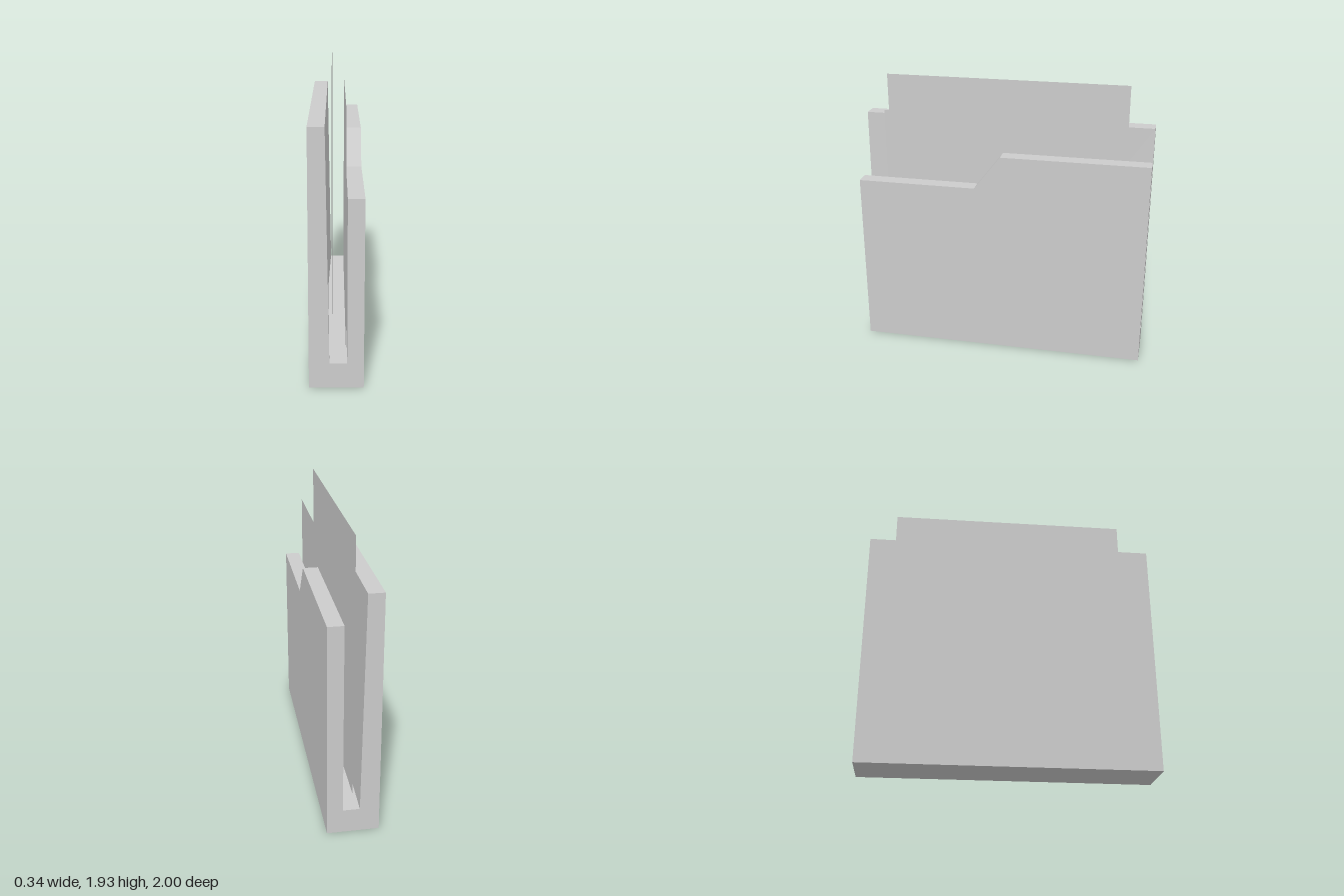
import * as THREE from 'three';

const material = new THREE.MeshStandardMaterial({ color: 0xcccccc, flatShading: true });
const sheetMaterial = new THREE.MeshStandardMaterial({ color: 0xcccccc, side: THREE.DoubleSide });

// U-shaped cross-section, counter-clockwise seen from +z
const section = (low, floorX) => [
  [-0.17, 0], [0.17, 0], [0.17, low], [0.067, low],
  [0.067, 0.165], [floorX, 0.165], [-0.067, 1.64], [-0.17, 1.64],
];

// Holder: the section swept front to back, with the step in the low wall
function holderGeometry() {
  const stations = [
    { z: 1, pts: section(1.215, -0.043) },
    { z: 0.18, pts: section(1.215, -0.066) },
    { z: 0, pts: section(1.45, -0.066) },
    { z: -1, pts: section(1.45, -0.043) },
  ];
  const positions = [];
  const put = (station, i) => positions.push(...station.pts[i], station.z);

  // Long faces
  for (let s = 0; s < stations.length - 1; s++) {
    const a = stations[s], b = stations[s + 1];
    const n = a.pts.length;
    for (let i = 0; i < n; i++) {
      const j = (i + 1) % n;
      put(a, i); put(b, i); put(b, j);
      put(a, i); put(b, j); put(a, j);
    }
  }

  // End caps
  const cap = (station, flip) => {
    const contour = station.pts.map(([x, y]) => new THREE.Vector2(x, y));
    for (const [i, j, k] of THREE.ShapeUtils.triangulateShape(contour, [])) {
      for (const v of flip ? [k, j, i] : [i, j, k]) put(station, v);
    }
  };
  cap(stations[0], false);
  cap(stations[stations.length - 1], true);

  const geometry = new THREE.BufferGeometry();
  geometry.setAttribute('position', new THREE.Float32BufferAttribute(positions, 3));
  geometry.computeVertexNormals();
  return geometry;
}

// Thin upright sheet standing on the slot floor
function sheet(name, x, top) {
  const bottom = 0.165;
  const mesh = new THREE.Mesh(new THREE.PlaneGeometry(1.655, top - bottom), sheetMaterial);
  mesh.rotation.y = Math.PI / 2;
  mesh.position.set(x, (top + bottom) / 2, 0);
  mesh.name = name;
  return mesh;
}

export function createModel() {
  const group = new THREE.Group();
  group.name = 'fileHolder';

  const holder = new THREE.Mesh(holderGeometry(), material);
  holder.name = 'holder';

  group.add(holder, sheet('tallSheet', -0.028, 1.93), sheet('shortSheet', 0.061, 1.7));
  return group;
}
